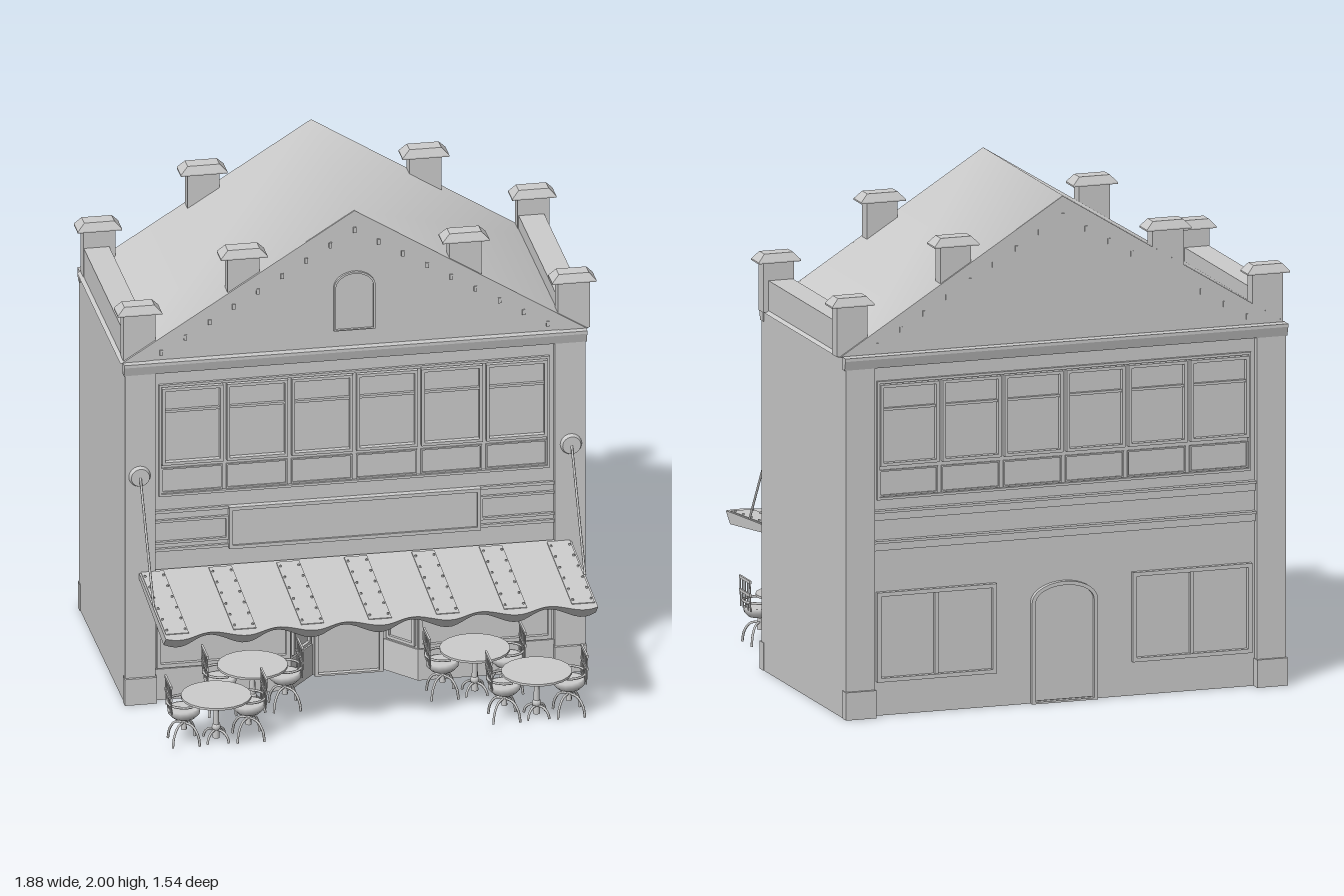
import * as THREE from 'three';

const mat = new THREE.MeshStandardMaterial({ color: 0xcccccc });
const FRONT = 0.17, BACK = -0.725, HALF = 0.905;

function add(parent, name, geo, x = 0, y = 0, z = 0) {
  const m = new THREE.Mesh(geo, mat);
  m.name = name;
  m.position.set(x, y, z);
  parent.add(m);
  return m;
}
function group(parent, name, x = 0, y = 0, z = 0) {
  const g = new THREE.Group();
  g.name = name;
  g.position.set(x, y, z);
  parent.add(g);
  return g;
}
// Box given by its limits
const span = (p, name, x0, x1, y0, y1, z0, z1) =>
  add(p, name, new THREE.BoxGeometry(x1 - x0, y1 - y0, z1 - z0), (x0 + x1) / 2, (y0 + y1) / 2, (z0 + z1) / 2);
const poly = pts => new THREE.Shape(pts.map(p => new THREE.Vector2(p[0], p[1])));
const extrude = (shape, depth) => new THREE.ExtrudeGeometry(shape, { depth, bevelEnabled: false, curveSegments: 12 });
const rect = (x0, x1, y0, y1) => poly([[x0, y0], [x1, y0], [x1, y1], [x0, y1]]);

function frame(p, name, x0, x1, y0, y1, t = 0.012, d = 0.015) {
  const s = rect(x0, x1, y0, y1);
  s.holes.push(rect(x0 + t, x1 - t, y0 + t, y1 - t));
  return add(p, name, extrude(s, d));
}
function arch(w, y0, spring, top) {
  const s = new THREE.Shape();
  s.moveTo(-w, y0);
  s.lineTo(w, y0);
  s.lineTo(w, spring);
  s.absellipse(0, spring, w, top - spring, 0, Math.PI, false);
  s.lineTo(-w, y0);
  return s;
}
function archFrame(p, name, w, y0, spring, top, t, d, z) {
  const s = arch(w, y0, spring, top);
  s.holes.push(arch(w - t, y0 + t / 2, spring, top - t));
  return add(p, name, extrude(s, d), 0, 0, z);
}
function tube(p, name, pts, r) {
  const c = new THREE.CatmullRomCurve3(pts.map(a => new THREE.Vector3(...a)));
  return add(p, name, new THREE.TubeGeometry(c, 10, r, 6));
}

// Corner piers, upper windows and cornice shared by front and back
function facade(parent, name) {
  const f = group(parent, name);
  for (const s of [-1, 1]) {
    span(f, 'pier', s * 0.845 - 0.06, s * 0.845 + 0.06, 0, 1.39, 0, 0.03);
    span(f, 'pierBase', s * 0.845 - 0.063, s * 0.845 + 0.063, 0, 0.11, 0, 0.042);
  }
  const prof = poly([[0, 1.383], [0.03, 1.383], [0.041, 1.42], [0.041, 1.432], [0, 1.432]]);
  add(f, 'cornice', extrude(prof, HALF * 2 + 0.01).rotateY(-Math.PI / 2), HALF + 0.005);
  frame(f, 'windowSurround', -0.768, 0.768, 0.855, 1.325, 0.01, 0.012);
  for (let i = 0; i < 6; i++) {
    const x = (i - 2.5) * 0.255;
    frame(f, 'upperWindow', x - 0.12, x + 0.12, 0.99, 1.312, 0.012, 0.022);
    span(f, 'transom', x - 0.11, x + 0.11, 1.208, 1.218, 0, 0.014);
    frame(f, 'lowerPanel', x - 0.12, x + 0.12, 0.867, 0.972, 0.006, 0.007);
  }
  return f;
}
function door(p, z) {
  archFrame(p, 'doorFrame', 0.135, 0, 0.4, 0.478, 0.015, 0.02, z);
  add(p, 'doorLeaf', extrude(arch(0.12, 0.01, 0.4, 0.463), 0.006), 0, 0, z);
}

// Ground floor plan with a splayed entrance recess
function groundFloor(p, name, out, h) {
  const f = FRONT + out;
  const plan = poly([[-HALF, BACK], [HALF, BACK], [HALF, f], [0.25, f], [0.15 - out, 0.05],
    [-0.15 + out, 0.05], [-0.25, f], [-HALF, f]]);
  add(p, name, extrude(plan, h).rotateX(Math.PI / 2), 0, h, 0);
}

function chimney(p, x, z, y0, y1, half) {
  const c = group(p, 'chimney', x, 0, z);
  span(c, 'chimneyShaft', -0.063, 0.063, y0, y1 - 0.03, -0.028, 0.028);
  span(c, 'chimneyLip', -half, half, y1 - 0.036, y1 - 0.03, -0.043, 0.043);
  const cap = new THREE.CylinderGeometry(0.68, 1, 1, 4, 1).rotateY(Math.PI / 4).toNonIndexed();
  cap.scale(half * Math.SQRT2, 0.03, 0.043 * Math.SQRT2);
  cap.computeVertexNormals();
  add(c, 'chimneyCap', cap, 0, y1 - 0.015, 0);
}

function curvedLegs(p, h, r) {
  for (let i = 0; i < 4; i++) {
    const leg = tube(p, 'curvedLeg', [[0, h, 0], [r * 0.55, h * 0.9, 0], [r * 0.9, h * 0.5, 0], [r, 0.005, 0]], 0.005);
    leg.rotation.y = Math.PI / 4 + i * Math.PI / 2;
  }
}
function chair(p, x, turn) {
  const c = group(p, 'chair', x);
  c.rotation.y = turn;
  curvedLegs(c, 0.09, 0.075);
  add(c, 'seatPost', new THREE.CylinderGeometry(0.008, 0.012, 0.06, 8), 0, 0.09, 0);
  const bowl = [[0, 0.11], [0.045, 0.113], [0.062, 0.13], [0.065, 0.15], [0.055, 0.152], [0, 0.15]];
  add(c, 'seat', new THREE.LatheGeometry(bowl.map(a => new THREE.Vector2(...a)), 16));
  const arm = new THREE.TorusGeometry(0.066, 0.005, 6, 14, Math.PI * 1.2).rotateZ(Math.PI * 0.4).rotateX(Math.PI / 2);
  add(c, 'armRail', arm, 0, 0.176, 0);
  for (const z of [-0.055, -0.028, 0, 0.028, 0.055])
    tube(c, 'backSpindle', [[-0.058, 0.145, z], [-0.06, 0.2, z], [-0.061, 0.265, z]], 0.003);
  for (const y of [0.21, 0.262]) span(c, 'backRail', -0.065, -0.057, y - 0.006, y + 0.006, -0.06, 0.06);
}
function diningSet(p, x, z) {
  const t = group(p, 'diningSet', x, 0, z);
  add(t, 'tableTop', new THREE.CylinderGeometry(0.137, 0.137, 0.009, 20), 0, 0.19, 0);
  add(t, 'tablePost', new THREE.CylinderGeometry(0.009, 0.014, 0.17, 8), 0, 0.1, 0);
  add(t, 'tableCollar', new THREE.SphereGeometry(0.018, 10, 6), 0, 0.06, 0);
  curvedLegs(t, 0.05, 0.06);
  chair(t, -0.127, 0);
  chair(t, 0.127, Math.PI);
}

function awning(p) {
  const a = group(p, 'awning', 0, 0, 0.2);
  const pitch = 0.266, wave = x => Math.cos(2 * Math.PI * x / pitch);
  const pts = [[-0.85, -0.02], [0.85, -0.02]];
  for (let i = 0; i <= 78; i++) {
    const x = 0.85 - 1.7 * i / 78;
    pts.push([x, 0.546 + 0.024 * wave(x)]);
  }
  // Sheet thickens toward a scalloped, undercut front edge
  const g = extrude(poly(pts), 1), v = g.attributes.position;
  for (let i = 0; i < v.count; i++) {
    const x = v.getX(i), s = v.getY(i), under = v.getZ(i), k = Math.max(0, s) / 0.57;
    v.setXYZ(i, x, 0.55 - 0.045 * k - under * (0.025 + (0.016 + 0.01 * wave(x)) * k), s - under * 0.05 * k);
  }
  g.computeVertexNormals();
  add(a, 'awningSheet', g);
  for (let i = -3; i <= 3; i++) {
    const strap = group(a, 'awningStrap', i * pitch, 0.55, 0);
    strap.rotation.x = 0.079;
    span(strap, 'strapPlate', -0.045, 0.045, -0.004, 0.003, 0, 0.52);
    for (const sx of [-0.036, 0.036]) for (let j = 0; j < 6; j++)
      add(strap, 'bolt', new THREE.CylinderGeometry(0.004, 0.005, 0.007, 6), sx, 0.006, 0.04 + j * 0.09);
  }
  for (const s of [-1, 1]) {
    tube(a, 'stayRod', [[s * 0.848, 0.955, 0.015], [s * 0.848, 0.745, 0.15], [s * 0.848, 0.53, 0.29]], 0.005);
    add(a, 'wallDisc', new THREE.CylinderGeometry(0.036, 0.043, 0.018, 24).rotateX(Math.PI / 2), s * 0.848, 0.957, 0.008);
  }
}

export function createModel() {
  const model = new THREE.Group();
  model.name = 'cafeBuilding';
  const b = group(model, 'building', -0.01);

  // Main walls
  span(b, 'upperWalls', -HALF, HALF, 0.49, 1.43, BACK, FRONT);
  groundFloor(b, 'groundFloorWalls', 0, 0.49);
  groundFloor(b, 'stallRiser', 0.01, 0.13);

  // Front
  const front = facade(b, 'frontFacade');
  front.position.z = FRONT;
  span(front, 'signBoard', -0.49, 0.49, 0.625, 0.79, 0, 0.018);
  frame(front, 'signBorder', -0.495, 0.495, 0.62, 0.795, 0.014, 0.027);
  for (const s of [-1, 1]) {
    frame(front, 'sidePanel', s * 0.645 - 0.15, s * 0.645 + 0.15, 0.655, 0.755, 0.01, 0.012);
    for (const y of [0.63, 0.79]) span(front, 'sideMoulding', s * 0.645 - 0.15, s * 0.645 + 0.15, y - 0.006, y + 0.006, 0, 0.012);
    frame(front, 'shopWindow', s * 0.515 - 0.262, s * 0.515 + 0.262, 0.135, 0.49, 0.016, 0.015);
    const splay = group(b, 'entranceSplay', s * 0.2, 0, 0.11);
    splay.rotation.y = -s * Math.atan2(0.12, 0.1);
    frame(splay, 'splayWindow', -0.07, 0.07, 0.14, 0.48, 0.012, 0.012);
  }
  door(b, 0.05);

  // Back
  const back = facade(b, 'backFacade');
  back.position.z = BACK;
  back.rotation.y = Math.PI;
  for (const y of [0.68, 0.8]) {
    span(back, 'bandMoulding', -0.785, 0.785, y - 0.025, y + 0.005, 0, 0.014);
    span(back, 'bandLip', -0.785, 0.785, y + 0.005, y + 0.015, 0, 0.024);
  }
  for (const s of [-1, 1]) {
    frame(back, 'backWindow', s * 0.525 - 0.245, s * 0.525 + 0.245, 0.135, 0.49, 0.016, 0.02);
    span(back, 'backMullion', s * 0.525 - 0.008, s * 0.525 + 0.008, 0.15, 0.475, 0, 0.014);
  }
  door(back, 0);

  // Roof sheet softly shaded over the ridge, with gables and low side parapets
  const roof = new THREE.PlaneGeometry(1.84, 0.9, 2, 1).rotateX(-Math.PI / 2), rp = roof.attributes.position;
  for (let i = 0; i < rp.count; i++) rp.setY(i, 2 - Math.abs(rp.getX(i)) * 0.623);
  roof.computeVertexNormals();
  add(b, 'roof', roof, 0, 0, -0.27);
  const gable = poly([[-0.915, 1.428], [0.915, 1.428], [0, 1.998]]);
  add(b, 'gableWalls', extrude(gable, 0.898), 0, 0, -0.719);
  for (const s of [-1, 1])
    span(b, 'sideParapet', s * 0.855 - 0.05, s * 0.855 + 0.05, 1.43, 1.555, -0.69, 0.15);
  const rake = poly([[-0.915, 1.43], [-0.81, 1.43], [0, 1.935], [0.81, 1.43], [0.915, 1.43], [0, 2]]);
  add(b, 'frontRake', extrude(rake, 0.006), 0, 0, 0.177);
  // Purlin ends showing on both gables
  for (let i = -8; i <= 8; i++) {
    const x = i * 0.095, y = 1.93 - Math.abs(x) * 0.6;
    span(b, 'purlin', x - 0.006, x + 0.006, y - 0.022, y, -0.723, 0.188);
  }
  archFrame(b, 'gableWindow', 0.082, 1.5, 1.68, 1.745, 0.008, 0.012, 0.178);

  // Chimneys at the corners and halfway up each slope
  for (const z of [0.145, -0.687]) for (const s of [-1, 1]) {
    chimney(model, s * 0.854, z, 1.43, 1.662, 0.087);
    chimney(model, s * 0.436 - 0.008, z, 1.65, 1.868, 0.092);
  }

  awning(b);

  // Terrace seating
  const terrace = group(model, 'terrace', -0.005);
  for (const s of [-1, 1]) {
    diningSet(terrace, s * 0.63, 0.61);
    diningSet(terrace, s * 0.437, 0.345);
  }
  return model;
}
